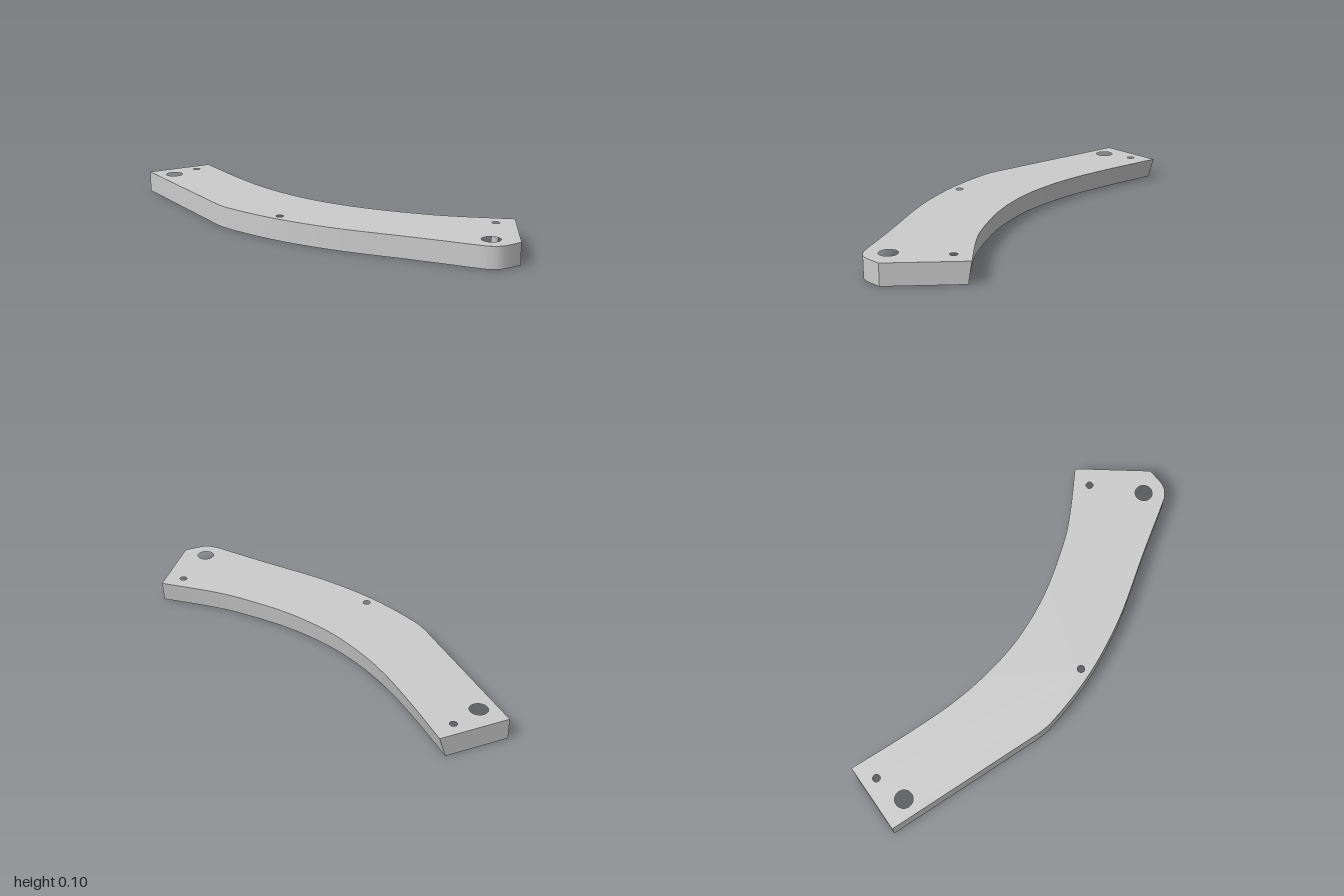
import * as THREE from 'three';
import { toCreasedNormals } from 'three/addons/utils/BufferGeometryUtils.js';

const THICKNESS = 0.098;

// Smooth plan curve through [x, z] pairs
const spline = (pairs, n) =>
  new THREE.SplineCurve(pairs.map(([x, z]) => new THREE.Vector2(x, z))).getPoints(n);

export function createModel() {
  const group = new THREE.Group();
  group.name = 'curvedPlate';

  // Concave back edge, left end of the plan to right end
  const backEdge = spline([[-0.785, -0.535], [-0.588, -0.355], [-0.388, -0.187], [-0.2, -0.064],
    [0, 0.03], [0.24, 0.093], [0.5, 0.117], [0.67, 0.112], [0.92, 0.078]], 48);

  // Front edge: rounded corner, gentle curve, then a straight run to the end
  const corner = spline([[1, 0.435], [0.955, 0.495], [0.92, 0.523], [0.875, 0.533]], 12);
  const frontEdge = spline([[0.84, 0.53], [0.56, 0.497], [0.24, 0.465], [0, 0.415], [-0.18, 0.355],
    [-0.34, 0.283], [-0.405, 0.243], [-0.46, 0.196]], 40);
  const outline = [...backEdge, ...corner, ...frontEdge, new THREE.Vector2(-1, -0.282)];
  const shape = new THREE.Shape(outline.map((p) => new THREE.Vector2(p.x, -p.y)));

  // Two large bolt holes and three small pin holes: x, z, radius
  for (const [x, z, r] of [[-0.86, -0.27, 0.041], [0.875, 0.43, 0.041],
    [-0.8, -0.414, 0.017], [-0.075, 0.345, 0.017], [0.85, 0.167, 0.017]]) {
    const hole = new THREE.Path();
    hole.absarc(x, -z, r, 0, Math.PI * 2, true);
    shape.holes.push(hole);
  }

  const geometry = new THREE.ExtrudeGeometry(shape, {
    depth: THICKNESS, bevelEnabled: false, curveSegments: 32,
  });
  geometry.rotateX(-Math.PI / 2);

  // Undercut the back edge: its lower rim is pulled inward, more so at the left of the plan
  const pos = geometry.attributes.position;
  for (let i = 0; i < pos.count; i++) {
    if (pos.getY(i) > THICKNESS / 2) continue;
    const x = pos.getX(i), z = pos.getZ(i);
    const k = backEdge.findIndex((p) => Math.hypot(p.x - x, p.y - z) < 1e-4);
    if (k < 0) continue;
    const t = k / (backEdge.length - 1);
    pos.setX(i, x + THREE.MathUtils.lerp(-0.021, 0.003, t));
    pos.setZ(i, z + THREE.MathUtils.lerp(0.025, 0.015, t));
  }

  const plate = new THREE.Mesh(toCreasedNormals(geometry, 0.5),
    new THREE.MeshStandardMaterial({ color: 0xcccccc }));
  plate.name = 'plate';
  group.add(plate);
  return group;
}
